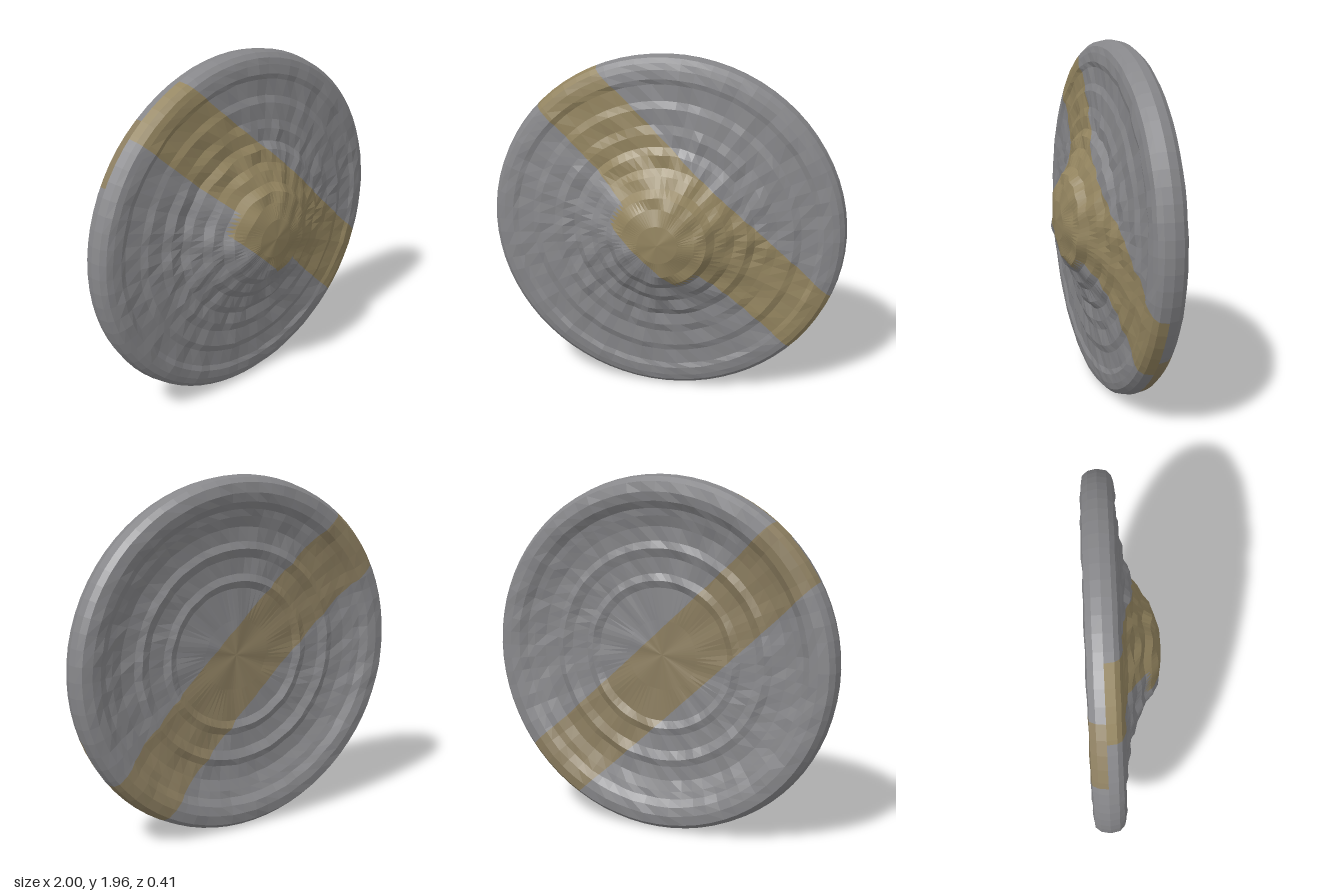
import * as THREE from 'three';

const RY = 0.978;                 // the disc is very slightly oval
const DIR = [0.68, 0.73];         // direction across the painted band

// Profile as (radius, depth): back centre, out over the rim, in to the front boss
const PROFILE = [
  [0, -0.11], [0.2, -0.11], [0.38, -0.112], [0.42, -0.13], [0.46, -0.118], [0.55, -0.122],
  [0.6, -0.142], [0.64, -0.13], [0.72, -0.135], [0.78, -0.155], [0.82, -0.165], [0.86, -0.192],
  [0.91, -0.203], [0.965, -0.195], [0.99, -0.165], [1, -0.115], [0.99, -0.065], [0.965, -0.04],
  [0.93, -0.03], [0.88, -0.024], [0.85, -0.032], [0.76, -0.028], [0.72, -0.014], [0.63, -0.012],
  [0.58, 0.002], [0.51, 0.004], [0.47, 0.03], [0.4, 0.046], [0.36, 0.075], [0.3, 0.1],
  [0.26, 0.142], [0.2, 0.165], [0.11, 0.19], [0, 0.2],
];

// Keep the part of a polygon where side * (DIR . p - d) >= 0
function clip(poly, d, side) {
  const out = [];
  const dist = (p) => side * (DIR[0] * p.x + DIR[1] * p.y - d);
  poly.forEach((a, i) => {
    const b = poly[(i + 1) % poly.length];
    const da = dist(a), db = dist(b);
    if (da >= 0) out.push(a);
    if (da * db < 0) out.push(a.clone().lerp(b, da / (da - db)));
  });
  return out;
}

// Fan-triangulate a polygon into a flat position list
function addPoly(list, poly) {
  for (let i = 1; i + 1 < poly.length; i++) {
    for (const p of [poly[0], poly[i], poly[i + 1]]) list.push(p.x, p.y, p.z);
  }
}

function makeMesh(name, positions, color) {
  const geo = new THREE.BufferGeometry();
  geo.setAttribute('position', new THREE.Float32BufferAttribute(positions, 3));
  geo.computeVertexNormals();
  const mesh = new THREE.Mesh(geo, new THREE.MeshStandardMaterial({ color, flatShading: true }));
  mesh.name = name;
  return mesh;
}

export function createModel() {
  // Turned disc, facing +z
  const lathe = new THREE.LatheGeometry(PROFILE.map(([r, h]) => new THREE.Vector2(r, h)), 72);
  lathe.rotateX(Math.PI / 2);
  lathe.scale(1, RY, 1);

  // Gentle hammered unevenness, fading out at the rim and the centre
  const pos = lathe.attributes.position;
  for (let i = 0; i < pos.count; i++) {
    const x = pos.getX(i), y = pos.getY(i), z = pos.getZ(i);
    const r = Math.hypot(x, y / RY);
    const fade = Math.min(1, (1 - r) * 8) * Math.min(1, r * 5);
    const amount = z > 0 ? 0.009 : 0.005;
    const bump = Math.sin(x * 23 + y * 11) * Math.cos(y * 19 - x * 7) + 0.5 * Math.sin(x * 41 - y * 37);
    pos.setZ(i, z + amount * fade * bump);
  }

  // Split every triangle along the edges of the painted band
  const flat = lathe.toNonIndexed().attributes.position;
  const plain = [], bandFront = [], bandBack = [];
  for (let i = 0; i < flat.count; i += 3) {
    const tri = [0, 1, 2].map((k) => new THREE.Vector3().fromBufferAttribute(flat, i + k));
    const c = tri[0].clone().add(tri[1]).add(tri[2]).divideScalar(3);
    const r = Math.hypot(c.x, c.y);
    const front = c.z > -0.115 && (r > 0.9 || c.z > -0.06);
    // The band is wider over the boss and sits lower on the back
    const low = front ? (r < 0.28 ? -0.13 : 0) : -0.27;
    const high = front ? 0.39 : 0.11;
    addPoly(plain, clip(tri, low, -1));
    addPoly(plain, clip(tri, high, 1));
    addPoly(front ? bandFront : bandBack, clip(clip(tri, low, 1), high, -1));
  }

  const shield = new THREE.Group();
  shield.name = 'roundShield';
  shield.add(
    makeMesh('shieldDisc', plain, 0x87878a),
    makeMesh('frontBand', bandFront, 0x93845f),
    makeMesh('backBand', bandBack, 0x8c7e60),
  );
  shield.position.y = RY;

  const group = new THREE.Group();
  group.name = 'shield';
  group.add(shield);
  return group;
}
